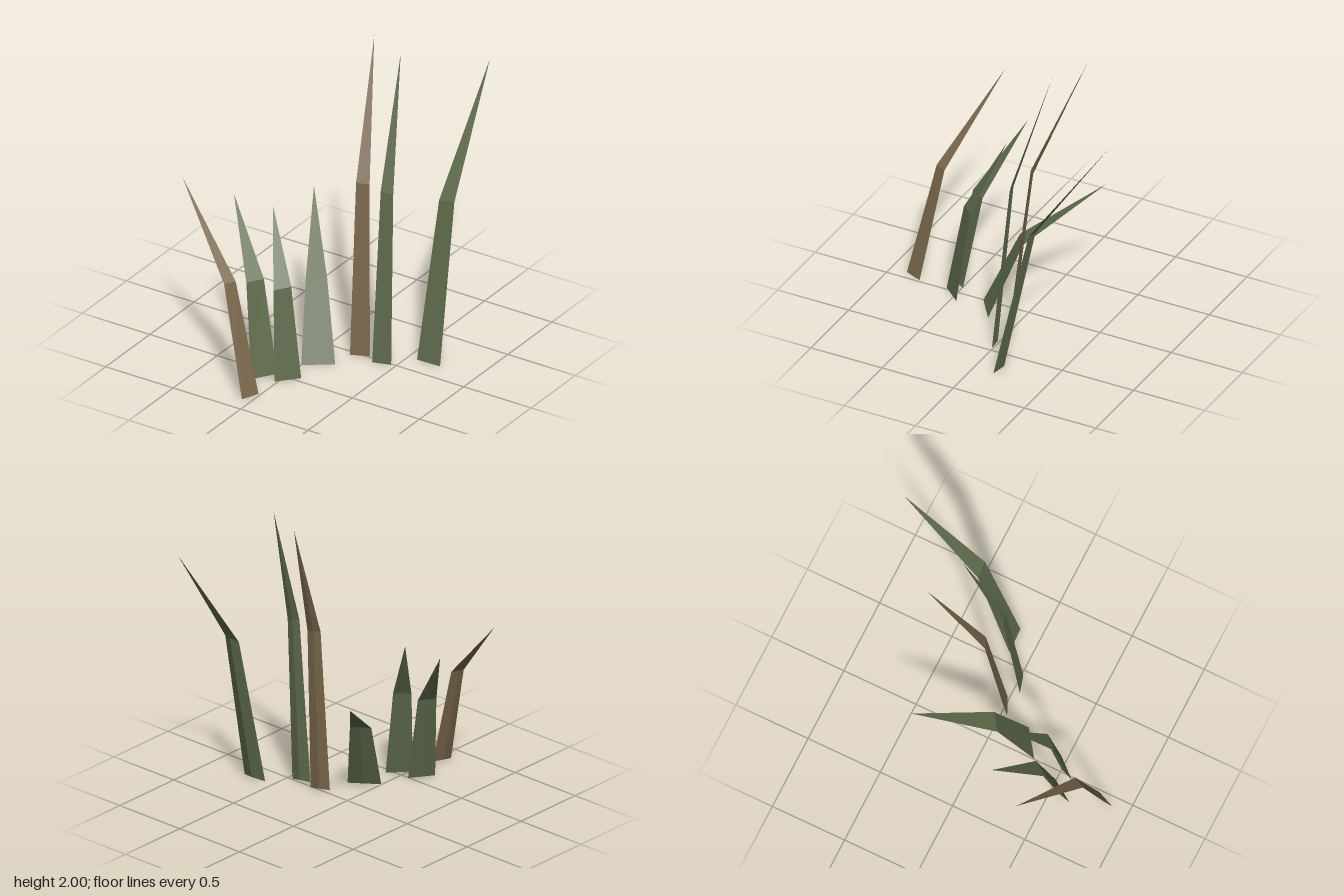
import * as THREE from 'three';

const green = new THREE.MeshStandardMaterial({ color: 0x5d694a, flatShading: true });
green.name = 'grass green';
const brown = new THREE.MeshStandardMaterial({ color: 0x78664b, flatShading: true });
brown.name = 'dry brown';

// Each blade: left/right corners of the base and of the bend, then the tip.
const blades = [
  { name: 'leaningBackBlade', material: green, base: [[0.566, 0, -0.135], [0.733, 0, -0.14]],
    bend: [[0.582, 1.03, -0.36], [0.692, 1.045, -0.365]], tip: [0.614, 1.8, -0.889] },
  { name: 'tallGreenBlade', material: green, base: [[0.351, 0, 0.045], [0.469, 0, 0.01]],
    bend: [[0.342, 1.155, -0.065], [0.42, 1.145, -0.088]], tip: [0.314, 2, -0.335] },
  { name: 'tallBrownBlade', material: brown, base: [[0.183, 0, 0.04], [0.296, 0, -0.012]],
    bend: [[0.143, 1.145, -0.09], [0.22, 1.138, -0.126]], tip: [0.046, 2, -0.445] },
  { name: 'lowBroadBlade', material: green, base: [[0.003, 0, 0.317], [0.174, 0, 0.194]],
    bend: [[-0.098, 0.49, 0.112], [0.01, 0.49, 0.034]], tip: [-0.347, 0.855, -0.362] },
  { name: 'shortInnerBlade', material: green, base: [[-0.018, 0, 0.586], [0.095, 0, 0.459]],
    bend: [[-0.084, 0.585, 0.5], [-0.007, 0.595, 0.415]], tip: [-0.234, 1.037, 0.275] },
  { name: 'shortOuterBlade', material: green, base: [[-0.157, 0, 0.638], [-0.06, 0, 0.495]],
    bend: [[-0.265, 0.6, 0.53], [-0.2, 0.6, 0.43]], tip: [-0.52, 1.04, 0.281] },
  { name: 'frontBrownBlade', material: brown, base: [[-0.063, 0, 0.889], [-0.014, 0, 0.775]],
    bend: [[-0.262, 0.705, 0.786], [-0.225, 0.705, 0.712]], tip: [-0.73, 1.225, 0.549] },
];

// Triangular section: flat front edge with a shallow ridge behind it.
function section([l, r]) {
  const left = new THREE.Vector3(...l), right = new THREE.Vector3(...r);
  const dx = right.x - left.x, dz = right.z - left.z;
  const ridge = left.clone().lerp(right, 0.5).add(new THREE.Vector3(dz * 0.2, Math.hypot(dx, dz) * 0.1, -dx * 0.2));
  return [left, right, ridge];
}

function bladeGeometry({ base, bend, tip }) {
  const a = section(base), b = section(bend), top = new THREE.Vector3(...tip);
  const points = [a[0], a[2], a[1]]; // underside
  for (let i = 0; i < 3; i++) {
    const j = (i + 1) % 3;
    points.push(a[i], a[j], b[j], a[i], b[j], b[i], b[i], b[j], top);
  }
  const geometry = new THREE.BufferGeometry().setFromPoints(points);
  geometry.computeVertexNormals();
  return geometry;
}

export function createModel() {
  const group = new THREE.Group();
  group.name = 'grassTuft';
  for (const blade of blades) {
    const mesh = new THREE.Mesh(bladeGeometry(blade), blade.material);
    mesh.name = blade.name;
    group.add(mesh);
  }
  return group;
}
